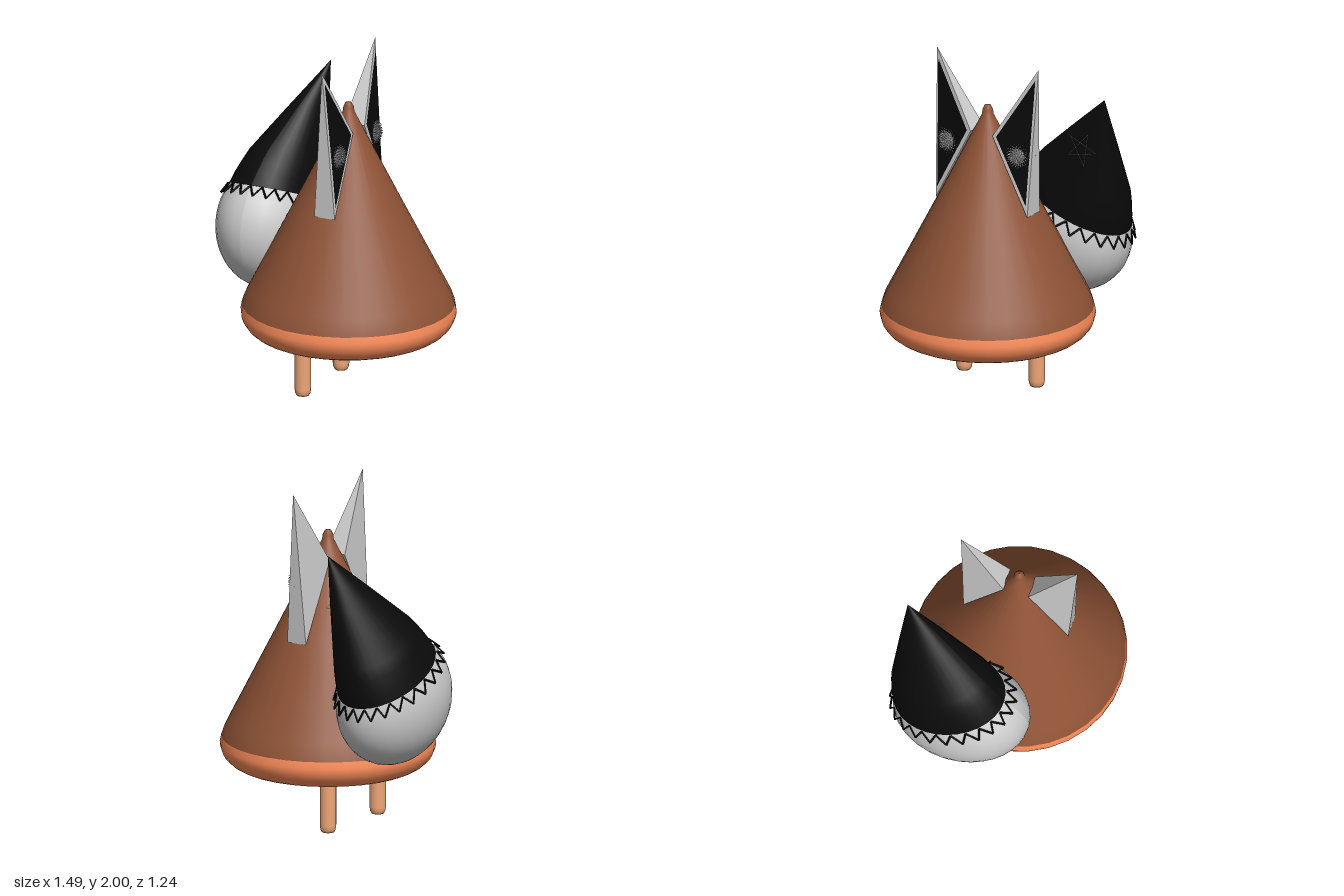
import * as THREE from 'three';
import { mergeGeometries } from 'three/addons/utils/BufferGeometryUtils.js';

const paint = (color, extra = {}) => new THREE.MeshStandardMaterial({ color, ...extra });
const grey = paint(0xcccccc, { side: THREE.DoubleSide });
const greyFlat = paint(0xcccccc, { side: THREE.DoubleSide, flatShading: true });
const black = paint(0x0a0a0a, { side: THREE.DoubleSide });
const brown = paint(0x8f5336, { side: THREE.DoubleSide });
const orange = paint(0xff8f5c, { side: THREE.DoubleSide });
const peach = paint(0xf0a878);

const v2 = pts => pts.map(p => new THREE.Vector2(...p));
const v3 = pts => pts.map(p => new THREE.Vector3(...p));

function add(parent, name, geometry, material) {
  const mesh = new THREE.Mesh(geometry, material);
  mesh.name = name;
  parent.add(mesh);
  return mesh;
}

// Flat polygons as unshared triangles
function triangles(list) {
  const g = new THREE.BufferGeometry().setFromPoints(list.flat());
  g.computeVertexNormals();
  return g;
}

// Thin wire of straight pieces through the points
function wire(points, radius) {
  const path = new THREE.CurvePath();
  points.forEach((p, i) => path.add(new THREE.LineCurve3(p, points[(i + 1) % points.length])));
  return mergeGeometries(path.curves.map(c => new THREE.TubeGeometry(c, 1, radius, 4)));
}

// Conical body with a rounded lower rim
function makeBody() {
  const body = new THREE.Group();
  body.name = 'body';
  body.position.x = 0.12;
  const lathe = pts => new THREE.LatheGeometry(v2(pts), 32);
  add(body, 'bodyCone', lathe([[0.612, 0.5], [0.595, 0.55], [0.57, 0.6], [0.3, 1.13], [0.034, 1.66],
    [0.03, 1.69], [0.018, 1.715], [0, 1.722]]), brown);
  const rim = [];
  for (let i = 0; i <= 8; i++) {
    const a = -Math.PI / 2 + (i / 8) * Math.PI / 2;
    rim.push([0.46 + 0.16 * Math.cos(a), 0.46 + 0.14 * Math.sin(a)]);
  }
  add(body, 'bodyRim', lathe([...rim, [0.612, 0.5]]), orange);
  add(body, 'bodyBottom', lathe([[0, 0.32], [0.46, 0.32]]), brown);
  return body;
}

// Pyramid ear with a dark inner panel and a bristly pompom; side is +1 or -1 in z
function makeEar(side) {
  const ear = new THREE.Group();
  ear.name = side > 0 ? 'frontEar' : 'backEar';
  const [tip, inL, inR, outL, outR] = v3([[0.12, 2, 0.35 * side],
    [0.055, 1.56, 0.075 * side], [0.185, 1.56, 0.075 * side],
    [0.055, 1.11, 0.315 * side], [0.185, 1.11, 0.315 * side]]);
  const faces = [[tip, outL, outR], [tip, outR, inR], [tip, inR, inL], [tip, inL, outL],
    [outL, inL, inR], [outL, inR, outR]];
  add(ear, 'earShell', triangles(side > 0 ? faces : faces.map(f => [...f].reverse())), greyFlat);

  const face = [tip, outR, inR];
  const mid = new THREE.Vector3().add(tip).add(outR).add(inR).divideScalar(3);
  const panel = face.map(p => p.clone().lerp(mid, 0.15).add(new THREE.Vector3(0.004, 0.001, 0)));
  add(ear, 'earPanel', triangles([side > 0 ? panel : panel.reverse()]), black);

  // Spikes spread evenly over a half ball facing +x
  const spikes = [new THREE.SphereGeometry(0.07, 20, 10, 0, Math.PI * 2, 0, Math.PI / 2).rotateZ(-Math.PI / 2)];
  const up = new THREE.Vector3(0, 1, 0), count = 220;
  for (let i = 0; i < count; i++) {
    const x = (i + 0.5) / count, r = Math.sqrt(1 - x * x), a = i * 2.39996;
    const dir = new THREE.Vector3(x, r * Math.cos(a), r * Math.sin(a));
    const q = new THREE.Quaternion().setFromUnitVectors(up, dir);
    spikes.push(new THREE.ConeGeometry(0.007, 0.036, 4).translate(0, 0.08, 0).applyQuaternion(q));
  }
  add(ear, 'pompom', mergeGeometries(spikes), grey).position.set(0.12, 1.465, 0.235 * side);
  return ear;
}

// Egg-shaped tail with a pointed dark tip, a zigzag trim and a thin star
function makeTail() {
  const tail = new THREE.Group();
  tail.name = 'tail';
  tail.position.set(-0.455, 0.84, -0.165);
  tail.rotation.x = -0.404;

  const lean = y => y < 0.185 ? 0 : y < 0.4 ? 0.035 * (y - 0.185) / 0.215 : 0.035 + 0.16 * (y - 0.4) / 0.58;
  const shaped = pts => {
    const g = new THREE.LatheGeometry(v2(pts), 32), p = g.attributes.position;
    for (let i = 0; i < p.count; i++) {
      p.setXYZ(i, p.getX(i) * 0.295 + lean(p.getY(i)), p.getY(i), p.getZ(i) * 0.41);
    }
    g.computeVertexNormals();
    return g;
  };
  const egg = [];
  for (let i = 0; i <= 16; i++) {
    const a = -Math.PI / 2 + (i / 16) * Math.PI * 2 / 3;
    egg.push([Math.cos(a), 0.37 * Math.sin(a)]);
  }
  add(tail, 'tailBall', shaped(egg), grey);
  add(tail, 'tailTip', shaped([[0.87, 0.185], [0.83, 0.26], [0.775, 0.33], [0.71, 0.4], [0.36, 0.69], [0, 0.98]]), black);

  const zigzag = [], teeth = 24;
  for (let i = 0; i < teeth * 2; i++) {
    const a = i / teeth * Math.PI, r = i % 2 ? 0.99 : 0.89;
    zigzag.push(new THREE.Vector3(0.295 * r * Math.cos(a), i % 2 ? 0.125 : 0.185, 0.41 * r * Math.sin(a)));
  }
  add(tail, 'tailTrim', wire(zigzag, 0.006), black);

  const star = [];
  for (let i = 0; i < 5; i++) {
    const a = i * Math.PI * 0.8, y = 0.1 * Math.cos(a);
    star.push(new THREE.Vector3(0.235 - 0.086 * y, 0.637 + y, 0.1 * Math.sin(a)));
  }
  add(tail, 'tailStar', wire(star, 0.0015), grey);
  return tail;
}

export function createModel() {
  const model = new THREE.Group();
  model.name = 'coneCreature';
  model.add(makeBody(), makeEar(1), makeEar(-1), makeTail());

  // Peg legs with softened feet
  const leg = new THREE.LatheGeometry(v2([[0, 0], [0.036, 0], [0.044, 0.015], [0.048, 0.04], [0.048, 0.36]]), 16);
  for (const [name, z] of [['frontLeg', 0.27], ['backLeg', -0.23]]) {
    add(model, name, leg, peach).position.set(-0.04, 0, z);
  }
  return model;
}
